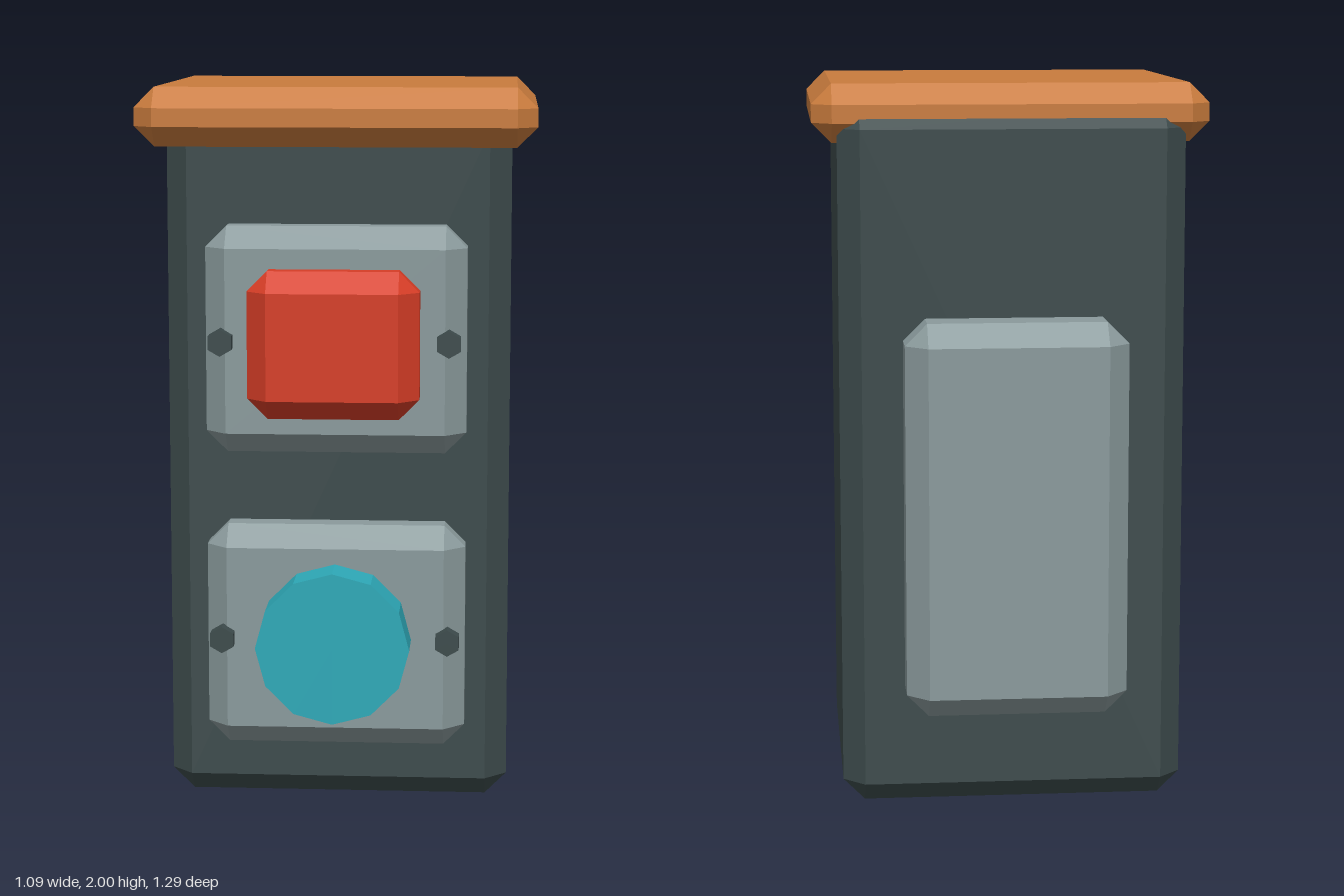
import * as THREE from 'three';
import { ConvexGeometry } from 'three/addons/geometries/ConvexGeometry.js';

const material = (name, color) => {
  const m = new THREE.MeshStandardMaterial({ color });
  m.name = name;
  return m;
};

// Box between two corners with every edge and corner bevelled by b
function bevelBox([x0, y0, z0], [x1, y1, z1], b) {
  const centre = new THREE.Vector3(x0 + x1, y0 + y1, z0 + z1).multiplyScalar(0.5);
  const half = [(x1 - x0) / 2, (y1 - y0) / 2, (z1 - z0) / 2];
  const points = [];
  for (const sx of [-1, 1]) for (const sy of [-1, 1]) for (const sz of [-1, 1]) {
    for (let axis = 0; axis < 3; axis++) {
      const p = half.map((h, i) => (i === axis ? h : h - b));
      points.push(new THREE.Vector3(sx * p[0], sy * p[1], sz * p[2]));
    }
  }
  return new ConvexGeometry(points).translate(centre.x, centre.y, centre.z);
}

// Flat-sided cylinder lying along z
function prism(radius, sides, z0, z1) {
  return new THREE.CylinderGeometry(radius, radius, z1 - z0, sides)
    .toNonIndexed()
    .rotateX(Math.PI / 2)
    .translate(0, 0, (z0 + z1) / 2);
}

export function createModel() {
  const group = new THREE.Group();
  group.name = 'controlPost';
  const dark = material('darkSlate', 0x3d4b4c);
  const grey = material('panelGrey', 0x8a9a9c);
  const orange = material('roofOrange', 0xc97b3d);
  const red = material('buttonRed', 0xd63d26);
  const teal = material('dialTeal', 0x2ea9b8);

  const add = (name, geometry, mat, x = 0, y = 0) => {
    geometry.computeVertexNormals();
    const mesh = new THREE.Mesh(geometry, mat);
    mesh.name = name;
    mesh.position.set(x, y, 0);
    group.add(mesh);
  };

  // Cabinet and overhanging roof
  add('body', bevelBox([-0.475, 0, -0.482], [0.475, 1.94, 0.4], 0.06), dark);
  add('roof', bevelBox([-0.543, 1.84, -0.455], [0.543, 2, 0.553], 0.055), orange);

  // Raised panels on the front and back
  add('upperPanel', bevelBox([-0.357, 1.003, 0.32], [0.357, 1.625, 0.52], 0.058), grey);
  add('lowerPanel', bevelBox([-0.357, 0.178, 0.32], [0.357, 0.8, 0.52], 0.058), grey);
  add('backPanel', bevelBox([-0.303, 0.285, -0.645], [0.303, 1.37, -0.4], 0.06), grey);

  // Button and dial
  add('button', bevelBox([-0.232, 1.115, 0.485], [0.232, 1.515, 0.645], 0.055), red);
  add('dial', prism(0.21, 12, 0.48, 0.643), teal, 0, 0.49);

  // Two hexagonal bolts on each front panel
  for (const y of [1.315, 0.49]) {
    for (const side of [-1, 1]) {
      add('bolt', prism(0.037, 6, 0.512, 0.556), dark, side * 0.31, y);
    }
  }
  return group;
}
